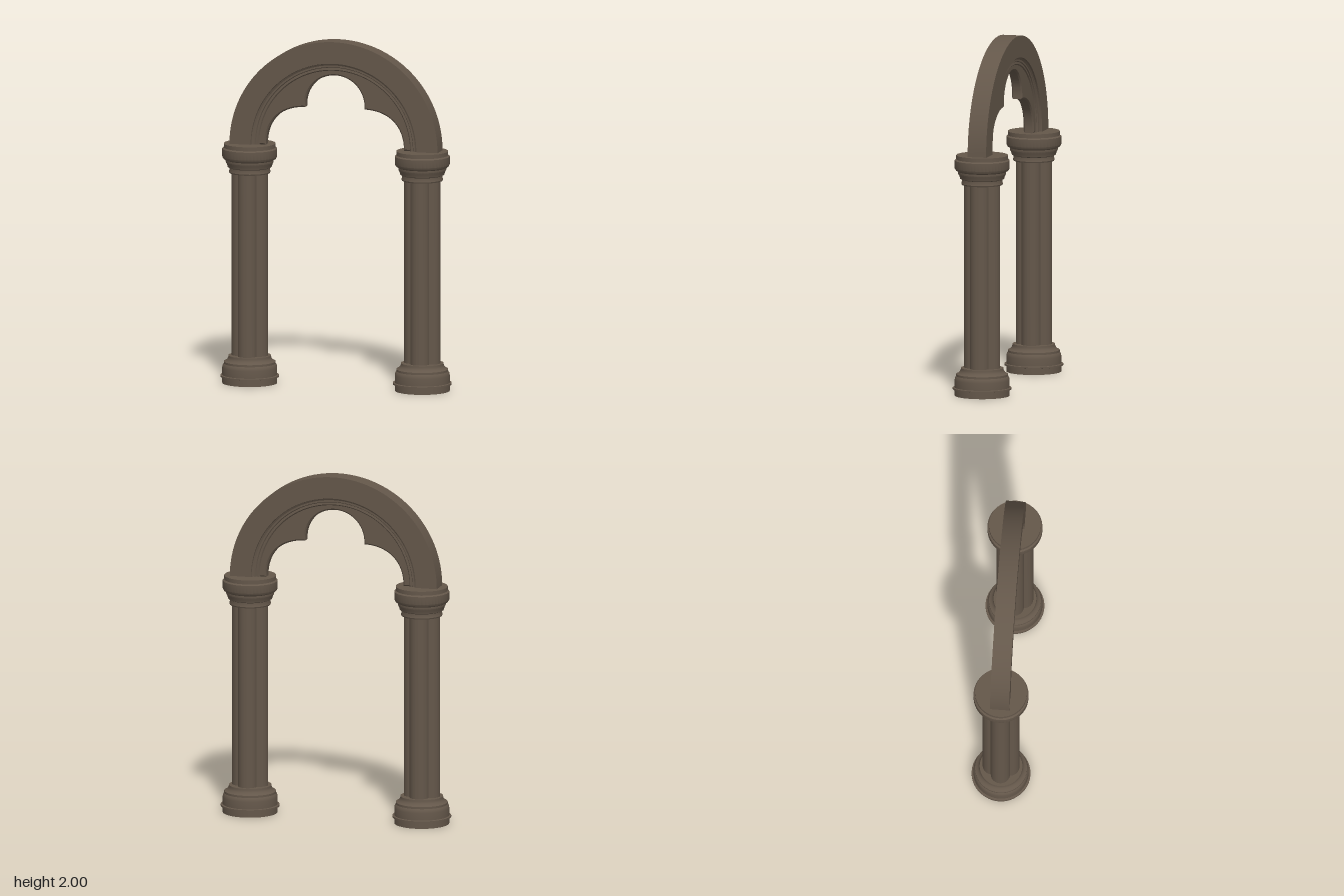
import * as THREE from 'three';
import { toCreasedNormals } from 'three/addons/utils/BufferGeometryUtils.js';

const SPRING = 1.385; // height where the arch meets the capitals
const COLUMN_X = 0.51;

const stone = new THREE.MeshStandardMaterial({ color: 0x64574a });
stone.name = 'brown stone';

function part(name, geometry, crease = 0.5) {
  const mesh = new THREE.Mesh(toCreasedNormals(geometry, crease), stone);
  mesh.name = name;
  return mesh;
}

const points = (list) => list.map(([x, y]) => new THREE.Vector2(x, y));

// Turned base and capital, profiles run bottom to top
const baseProfile = points([
  [0, 0], [0.157, 0], [0.157, 0.035], [0.168, 0.037], [0.168, 0.046], [0.157, 0.048],
  [0.157, 0.09], [0.154, 0.105], [0.148, 0.113], [0.148, 0.125], [0.136, 0.13],
  [0.127, 0.14], [0.122, 0.152], [0.122, 0.16], [0, 0.16],
]);
const capitalProfile = points([
  [0, 1.215], [0.116, 1.215], [0.119, 1.222], [0.116, 1.232], [0.116, 1.245], [0.126, 1.25],
  [0.13, 1.265], [0.137, 1.278], [0.137, 1.29], [0.15, 1.297], [0.157, 1.31],
  [0.157, 1.355], [0.148, 1.362], [0.148, SPRING], [0, SPRING],
]);

// Cluster of four shafts merged into one quatrefoil outline
function shaftGeometry() {
  const shape = new THREE.Shape();
  const offset = 0.05, radius = 0.055, valley = 0.0548;
  const half = Math.atan2(valley, valley - offset);
  for (let i = 0; i < 4; i++) {
    const a = i * Math.PI / 2;
    shape.absarc(offset * Math.cos(a), offset * Math.sin(a), radius, a - half, a + half, false);
  }
  const geometry = new THREE.ExtrudeGeometry(shape, { depth: 1.07, bevelEnabled: false, curveSegments: 14 });
  return geometry.rotateX(-Math.PI / 2).translate(0, 0.15, 0);
}

function createColumn(name, x) {
  const column = new THREE.Group();
  column.name = name;
  column.add(
    part('base', new THREE.LatheGeometry(baseProfile, 48)),
    part('clusteredShaft', shaftGeometry()),
    part('capital', new THREE.LatheGeometry(capitalProfile, 48)),
  );
  column.position.x = x;
  return column;
}

// Half ring with a stepped and rolled inner moulding, same on both faces
function archGeometry() {
  const face = [
    [0.615, 0.055], [0.49, 0.055], [0.488, 0.046], [0.478, 0.04], [0.468, 0.04],
    [0.464, 0.034], [0.452, 0.036], [0.444, 0.028], [0.44, 0.02],
  ];
  const back = face.map(([r, z]) => [r, -z]).reverse();
  const loop = points([...face, ...back, face[0]]);
  const geometry = new THREE.LatheGeometry(loop, 64, -Math.PI / 2, Math.PI);
  return geometry.rotateX(-Math.PI / 2).translate(0, SPRING, 0);
}

// Cusped plate filling the arch, its opening cut as a trefoil
function traceryGeometry() {
  const shape = new THREE.Shape();
  const bevel = 0.008;
  shape.moveTo(0.47, 0);
  shape.absarc(0, 0, 0.47, 0, Math.PI, false);
  shape.lineTo(-0.408, 0);
  shape.bezierCurveTo(-0.408, 0.14, -0.32, 0.225, -0.175, 0.228);
  shape.lineTo(-0.175, 0.243);
  shape.absarc(0, 0.243, 0.175, Math.PI, 0, true);
  shape.lineTo(0.175, 0.228);
  shape.bezierCurveTo(0.32, 0.225, 0.408, 0.14, 0.408, 0);
  shape.closePath();
  const geometry = new THREE.ExtrudeGeometry(shape, {
    depth: 0.044, curveSegments: 32, bevelEnabled: true, bevelSegments: 1,
    bevelSize: bevel, bevelThickness: bevel, bevelOffset: -bevel,
  });
  return geometry.translate(0, SPRING, -0.022);
}

export function createModel() {
  const model = new THREE.Group();
  model.name = 'trefoilArch';
  model.add(
    createColumn('leftColumn', COLUMN_X),
    createColumn('rightColumn', -COLUMN_X),
    part('archBand', archGeometry()),
    part('trefoilTracery', traceryGeometry()),
  );
  return model;
}
